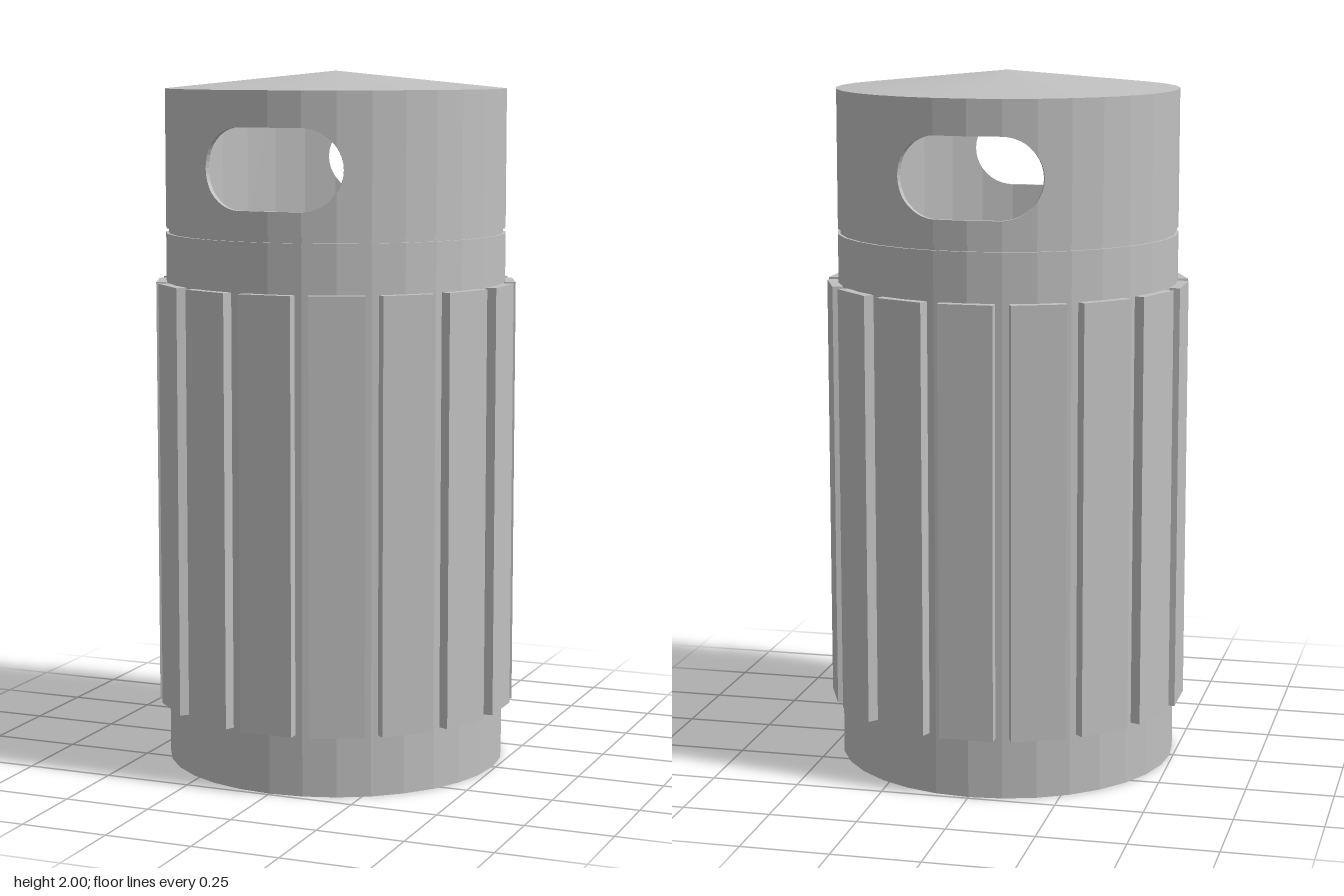
import * as THREE from 'three';

const SIDES = 32, R = 0.49, WALL = 0.012;
const HOOD_BOTTOM = 1.555, HOOD_TOP = 1.95;
const SLOT_Y = 1.737, SLOT_R = 0.113, SLOT_S = 0.092; // stadium-shaped slot

// Half height of the slot at a given x
function slotHalf(x) {
  const d = Math.max(0, Math.abs(x) - SLOT_S);
  return d >= SLOT_R ? 0 : Math.sqrt(SLOT_R * SLOT_R - d * d);
}

// Half of the hood wall (facing +z), built in upright columns with a slot
function hoodHalf() {
  const ring = [];
  for (let k = -SIDES / 4; k <= SIDES / 4; k++) {
    const a = (k / SIDES) * Math.PI * 2;
    ring.push([R * Math.sin(a), R * Math.cos(a)]);
  }
  const xs = ring.map((p) => p[0]);
  for (let i = 0; i <= 10; i++) {
    const x = SLOT_S + SLOT_R * Math.sin((i / 10) * Math.PI / 2);
    xs.push(x, -x);
  }
  xs.sort((a, b) => a - b);
  const zAt = (x) => {
    let i = 1;
    while (i < ring.length - 1 && ring[i][0] < x) i++;
    const [x0, z0] = ring[i - 1], [x1, z1] = ring[i];
    return z0 + ((z1 - z0) * (x - x0)) / (x1 - x0);
  };
  const inner = (R - WALL) / R;
  const pos = [];
  const quad = (a, b, c, d) => pos.push(...a, ...b, ...c, ...a, ...c, ...d);
  const out = (x, y) => [x, y, zAt(x)];
  const inn = (x, y) => [x * inner, y, zAt(x) * inner];
  // outer and inner skin between two heights at each column edge
  const panel = (x0, x1, lo0, lo1, hi0, hi1) => {
    quad(out(x0, lo0), out(x1, lo1), out(x1, hi1), out(x0, hi0));
    quad(inn(x1, lo1), inn(x0, lo0), inn(x0, hi0), inn(x1, hi1));
  };
  for (let i = 0; i < xs.length - 1; i++) {
    const x0 = xs[i], x1 = xs[i + 1];
    if (x1 - x0 < 1e-6) continue;
    const h0 = slotHalf(x0), h1 = slotHalf(x1);
    if (h0 < 1e-6 && h1 < 1e-6) {
      panel(x0, x1, HOOD_BOTTOM, HOOD_BOTTOM, HOOD_TOP, HOOD_TOP);
      continue;
    }
    const lo0 = SLOT_Y - h0, lo1 = SLOT_Y - h1, hi0 = SLOT_Y + h0, hi1 = SLOT_Y + h1;
    panel(x0, x1, HOOD_BOTTOM, HOOD_BOTTOM, lo0, lo1);
    panel(x0, x1, hi0, hi1, HOOD_TOP, HOOD_TOP);
    // rim of the slot
    quad(out(x0, lo0), out(x1, lo1), inn(x1, lo1), inn(x0, lo0));
    quad(inn(x0, hi0), inn(x1, hi1), out(x1, hi1), out(x0, hi0));
  }
  const g = new THREE.BufferGeometry();
  g.setAttribute('position', new THREE.Float32BufferAttribute(pos, 3));
  g.computeVertexNormals();
  return g;
}

export function createModel() {
  const group = new THREE.Group();
  const metal = new THREE.MeshStandardMaterial({ color: 0xc0c0c0, flatShading: true });
  metal.name = 'grey metal';
  const add = (geometry, name, parent = group) => {
    const mesh = new THREE.Mesh(geometry, metal);
    mesh.name = name;
    parent.add(mesh);
    return mesh;
  };

  // Hollow body with a shallow groove below the hood
  const profile = [
    [0, 0], [R, 0], [R, 1.54], [R - 0.008, 1.54], [R - 0.008, HOOD_BOTTOM],
    [R, HOOD_BOTTOM], [R - WALL, HOOD_BOTTOM], [R - WALL, 0.03], [0, 0.03],
  ].map(([x, y]) => new THREE.Vector2(x, y));
  add(new THREE.LatheGeometry(profile, SIDES), 'body');

  // Hood wall with a slot at the front and the back
  const hood = new THREE.Group();
  hood.name = 'hood';
  group.add(hood);
  const half = hoodHalf();
  add(half, 'hoodFront', hood);
  add(half, 'hoodBack', hood).rotation.y = Math.PI;

  // Shallow conical lid
  add(new THREE.ConeGeometry(R, 2 - HOOD_TOP, SIDES), 'lid').position.y = (2 + HOOD_TOP) / 2;

  // Ring of upright slats
  const slats = new THREE.Group();
  slats.name = 'slats';
  group.add(slats);
  const slatGeometry = new THREE.BoxGeometry(0.154, 1.225, 0.03);
  for (let i = 0; i < 16; i++) {
    const a = (i / 16) * Math.PI * 2;
    const slat = add(slatGeometry, 'slat', slats);
    slat.position.set(Math.sin(a) * 0.5, 0.7875, Math.cos(a) * 0.5);
    slat.rotation.y = a;
  }
  return group;
}
